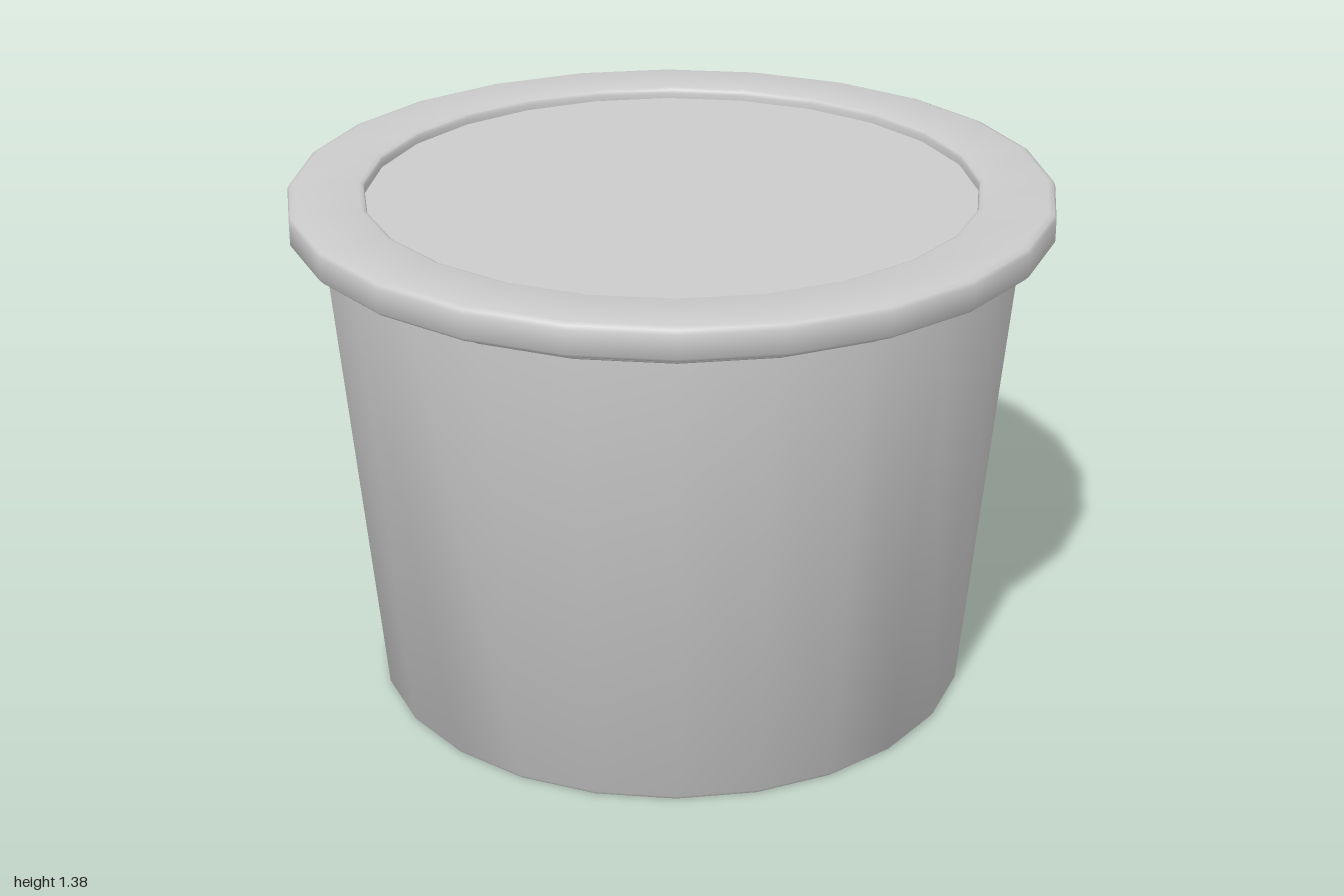
import * as THREE from 'three';
import { toCreasedNormals } from 'three/addons/utils/BufferGeometryUtils.js';

const SIDES = 24;

// Revolves a profile of [radius, height] pairs, keeping sharp edges crisp
function turned(name, profile) {
  const points = profile.map(([r, y]) => new THREE.Vector2(r, y));
  const geometry = toCreasedNormals(new THREE.LatheGeometry(points, SIDES), Math.PI / 3.5);
  const mesh = new THREE.Mesh(geometry, new THREE.MeshStandardMaterial({ color: 0xcccccc }));
  mesh.name = name;
  return mesh;
}

export function createModel() {
  const group = new THREE.Group();
  group.name = 'lidded tub';

  // Tapered tub with a closed base and a slightly eased bottom edge
  group.add(turned('tub', [
    [0, 0], [0.795, 0], [0.802, 0.01], [0.915, 1.27], [0.915, 1.3],
  ]));

  // Lid: stepped collar under a wide rounded rim, with a shallow recessed panel
  group.add(turned('lid', [
    [0.9, 1.265], [0.93, 1.265], [0.94, 1.275], [0.94, 1.295],
    [0.99, 1.295], [1, 1.305], [1, 1.365], [0.995, 1.375], [0.98, 1.38],
    [0.815, 1.38], [0.803, 1.375], [0.8, 1.365], [0.8, 1.35], [0, 1.35],
  ]));

  return group;
}
